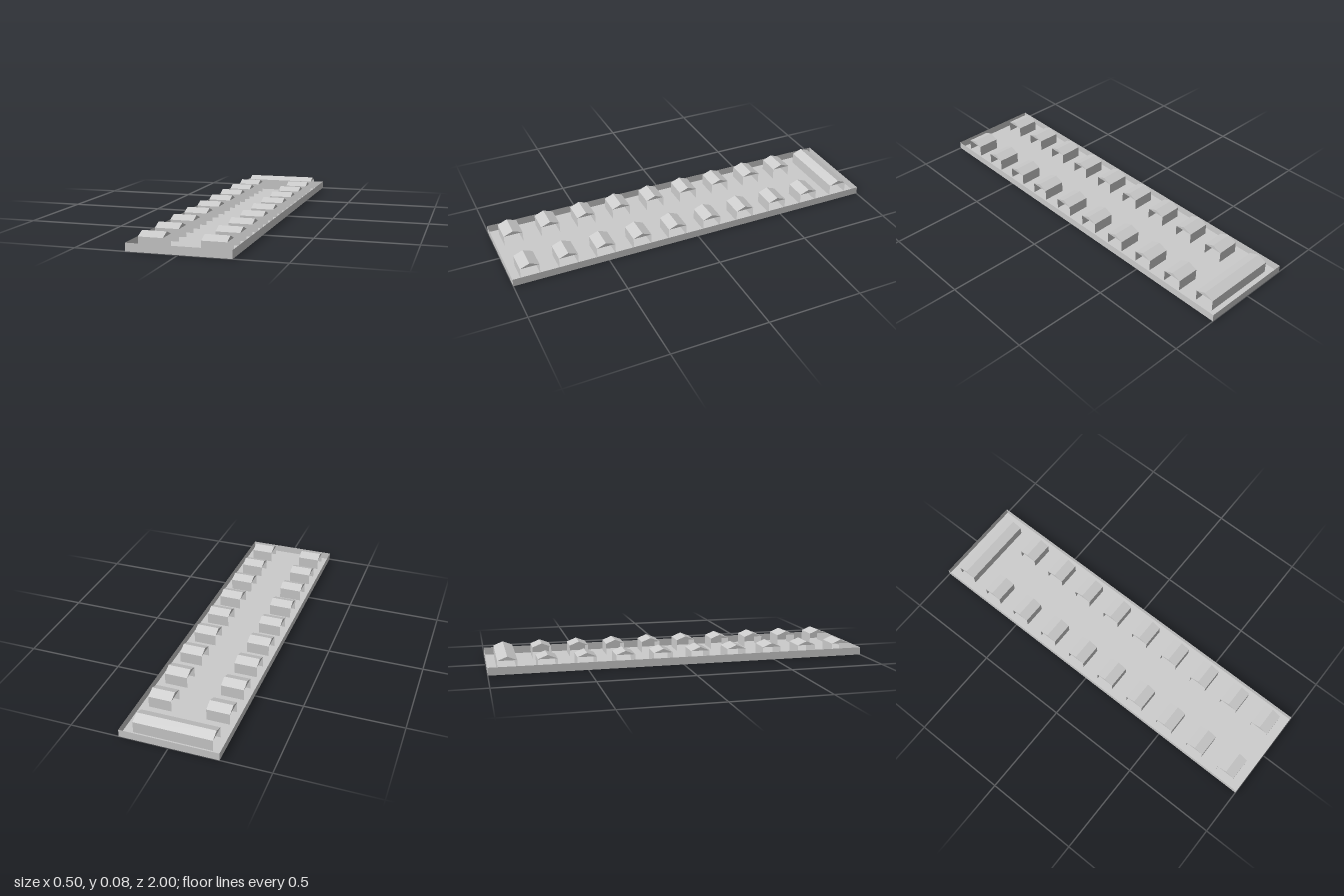
import * as THREE from 'three';

const material = new THREE.MeshStandardMaterial({
  color: 0xcccccc, flatShading: true, side: THREE.DoubleSide,
});

const WIDTH = 0.5, LENGTH = 2, RIM = 0.04;     // tray
const DEPTH = 0.1, EAVE = 0.06, RIDGE = 0.08;  // buildings

function addMesh(parent, name, geometry) {
  const mesh = new THREE.Mesh(geometry, material);
  mesh.name = name;
  parent.add(mesh);
  return mesh;
}

// Upright thin sheet standing on y = 0
function addWall(parent, name, width, height, x, z, turn = 0) {
  const wall = addMesh(parent, name, new THREE.PlaneGeometry(width, height));
  wall.position.set(x, height / 2, z);
  wall.rotation.y = turn;
}

// Open tray: a floor with four thin rims
function createTray() {
  const tray = new THREE.Group();
  tray.name = 'tray';
  addMesh(tray, 'floor', new THREE.PlaneGeometry(WIDTH, LENGTH)).rotation.x = -Math.PI / 2;
  for (const s of [-1, 1]) {
    addWall(tray, s > 0 ? 'frontRim' : 'backRim', WIDTH, RIM, 0, s * LENGTH / 2, s > 0 ? 0 : Math.PI);
    addWall(tray, s > 0 ? 'leftRim' : 'rightRim', LENGTH, RIM, s * WIDTH / 2, 0, s * Math.PI / 2);
  }
  return tray;
}

// Shelter with front and back walls, open ends and a gabled roof along x
function createShelter(name, length, x, z) {
  const shelter = new THREE.Group();
  shelter.name = name;
  addWall(shelter, 'frontWall', length, EAVE, 0, DEPTH / 2);
  addWall(shelter, 'backWall', length, EAVE, 0, -DEPTH / 2, Math.PI);

  const gable = new THREE.Shape([
    new THREE.Vector2(-DEPTH / 2, EAVE),
    new THREE.Vector2(DEPTH / 2, EAVE),
    new THREE.Vector2(0, RIDGE),
  ]);
  const roof = new THREE.ExtrudeGeometry(gable, { depth: length, bevelEnabled: false });
  roof.translate(0, 0, -length / 2).rotateY(Math.PI / 2);
  addMesh(shelter, 'roof', roof);

  shelter.position.set(x, 0, z);
  return shelter;
}

export function createModel() {
  const model = new THREE.Group();
  model.name = 'camp';
  model.add(createTray());

  // Two rows of nine small huts
  for (let i = 0; i < 9; i++) {
    const z = 0.9 - i * 0.2;
    model.add(createShelter('leftHut', 0.12, 0.15, z), createShelter('rightHut', 0.12, -0.15, z));
  }

  // Long hall across the back
  model.add(createShelter('hall', 0.4, 0, -0.9));
  return model;
}
